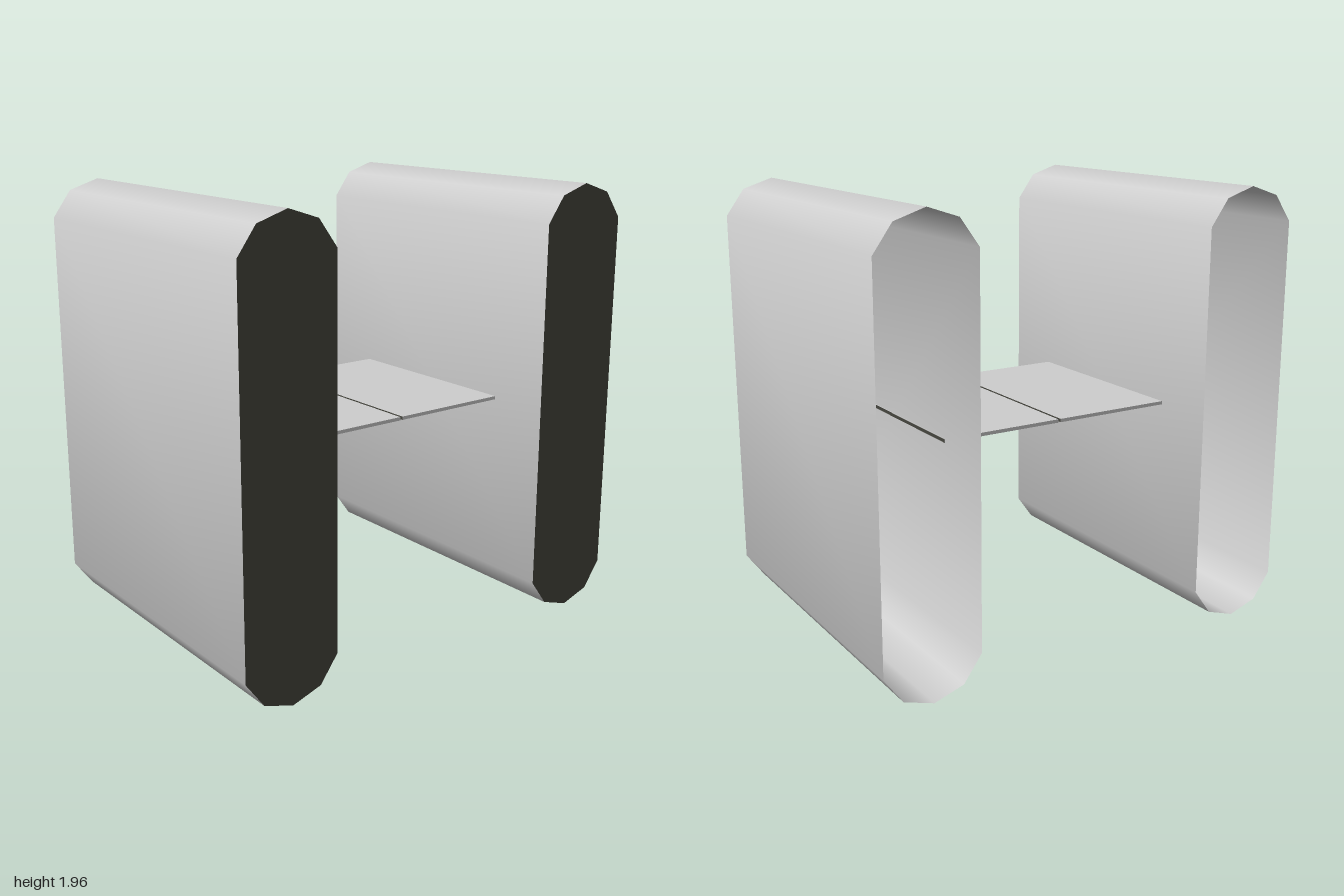
import * as THREE from 'three';

const mat = (name, color, side = THREE.FrontSide) => {
  const m = new THREE.MeshStandardMaterial({ color, side });
  m.name = name;
  return m;
};

// Pod cross-section: a ten-sided circle pulled apart vertically
const SIDES = 10, RADIUS = 0.2316, STRETCH = 0.746;
const LENGTH = 1.48, MID_Y = RADIUS + STRETCH;

function stretch(geometry) {
  const p = geometry.attributes.position;
  for (let i = 0; i < p.count; i++) {
    const y = p.getY(i);
    if (Math.abs(y) > 1e-5) p.setY(i, y + Math.sign(y) * STRETCH);
  }
  return geometry;
}

export function createModel() {
  const grey = mat('hull grey', 0xcdcdcd);
  const shell = mat('shell grey', 0xcdcdcd, THREE.DoubleSide);
  const dark = mat('dark olive', 0x45453d, THREE.DoubleSide);
  const blue = mat('ring blue', 0x4444cc, THREE.DoubleSide);

  const model = new THREE.Group();
  model.name = 'twinPodModel';
  const add = (parent, name, geometry, material, x = 0, y = 0, z = 0) => {
    const mesh = new THREE.Mesh(geometry, material);
    mesh.name = name;
    mesh.position.set(x, y, z);
    parent.add(mesh);
  };

  // Open tube, smooth around its outline
  const tube = stretch(new THREE.CylinderGeometry(RADIUS, RADIUS, LENGTH, SIDES, 1, true).rotateX(-Math.PI / 2));
  // Dark plate closing the front; the centre vertex stays in the middle
  const cap = stretch(new THREE.CircleGeometry(RADIUS, SIDES, Math.PI / 2));
  // Thin band that lines the inside of the tube
  const outer = 0.225, inner = 0.21, half = 0.005;
  const band = stretch(new THREE.LatheGeometry([
    [inner, -half], [outer, -half], [outer, half], [inner, half], [inner, -half],
  ].map(([r, h]) => new THREE.Vector2(r, h)), SIDES).rotateX(-Math.PI / 2));

  // Connecting wing with dark ends
  const wing = new THREE.BoxGeometry(0.557, 0.015, 0.915);
  const wingMaterials = [dark, dark, grey, grey, grey, grey];

  for (const [label, s] of [['left', 1], ['right', -1]]) {
    const pod = new THREE.Group();
    pod.name = label + 'Pod';
    pod.position.set(s * 0.78, MID_Y, 0);
    add(pod, 'podShell', tube, shell);
    add(pod, 'podFrontCap', cap, dark, 0, 0, LENGTH / 2);
    for (const z of [0.592, 0.665]) add(pod, 'podInnerRing', band, blue, 0, 0, z);
    model.add(pod);
    add(model, label + 'Wing', wing, wingMaterials, s * 0.2845, MID_Y, 0);
  }
  return model;
}
